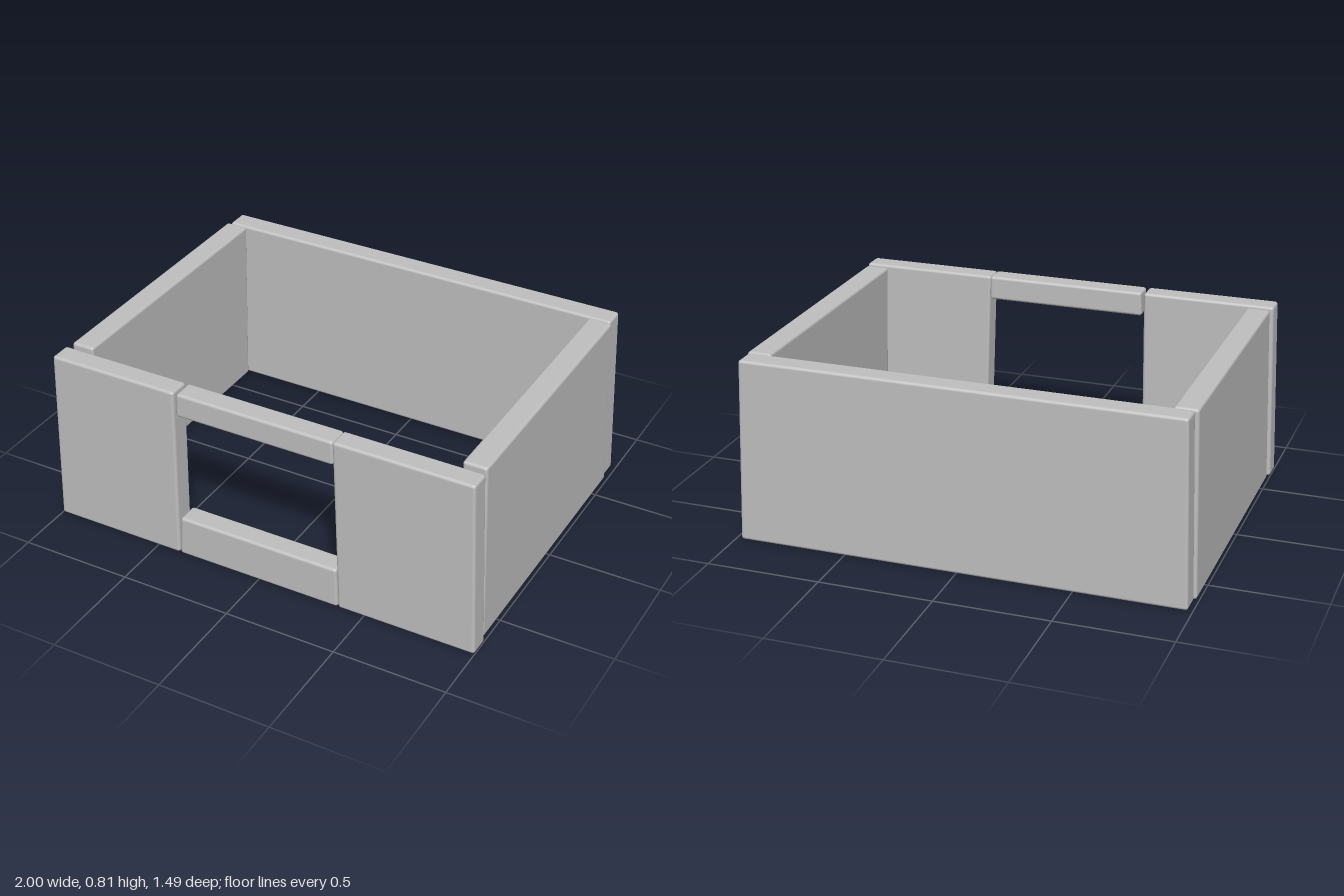
import * as THREE from 'three';
import { RoundedBoxGeometry } from 'three/addons/geometries/RoundedBoxGeometry.js';

const HEIGHT = 0.81;

// Slab with softened edges whose x and z extents change linearly from bottom to top.
// Each extent is [min, max].
function slab(name, material, [y0, y1], xBottom, xTop, zBottom, zTop) {
  const size = ([a, b]) => b - a;
  const w = (size(xBottom) + size(xTop)) / 2;
  const d = (size(zBottom) + size(zTop)) / 2;
  const h = y1 - y0;
  const geometry = new RoundedBoxGeometry(w, h, d, 3, 0.013);
  const p = geometry.attributes.position;
  const extent = (bottom, top, t, u) => {
    const lo = THREE.MathUtils.lerp(bottom[0], top[0], t);
    const hi = THREE.MathUtils.lerp(bottom[1], top[1], t);
    return lo + (hi - lo) * u;
  };
  for (let i = 0; i < p.count; i++) {
    const t = p.getY(i) / h + 0.5;
    p.setXYZ(
      i,
      extent(xBottom, xTop, t, p.getX(i) / w + 0.5),
      y0 + t * h,
      extent(zBottom, zTop, t, p.getZ(i) / d + 0.5)
    );
  }
  const mesh = new THREE.Mesh(geometry, material);
  mesh.name = name;
  return mesh;
}

export function createModel() {
  const group = new THREE.Group();
  group.name = 'walls';
  const grey = new THREE.MeshStandardMaterial({ color: 0xbfbfbf });
  grey.name = 'wall grey';

  const full = [0, HEIGHT];
  const front = [0.648, 0.747];
  const sideBottom = [-0.644, 0.633];
  const sideTop = [-0.628, 0.617];

  group.add(
    // Front wall: two panels with a window gap between them
    slab('frontRightPanel', grey, full, [-1, -0.39], [-0.975, -0.38], front, front),
    slab('frontLeftPanel', grey, full, [0.38, 1], [0.355, 0.972], front, front),
    slab('windowLintel', grey, [0.7, HEIGHT], [-0.372, 0.359], [-0.367, 0.357], front, front),
    slab('windowSill', grey, [0, 0.188], [-0.387, 0.378], [-0.377, 0.372], front, front),
    // Side walls lean inwards
    slab('rightWall', grey, full, [-0.99, -0.885], [-0.967, -0.863], sideBottom, sideTop),
    slab('leftWall', grey, full, [0.88, 0.987], [0.855, 0.962], sideBottom, sideTop),
    // Back wall leans inwards
    slab('backWall', grey, full, [-0.98, 0.977], [-0.953, 0.953], [-0.747, -0.645], [-0.733, -0.63])
  );
  return group;
}
